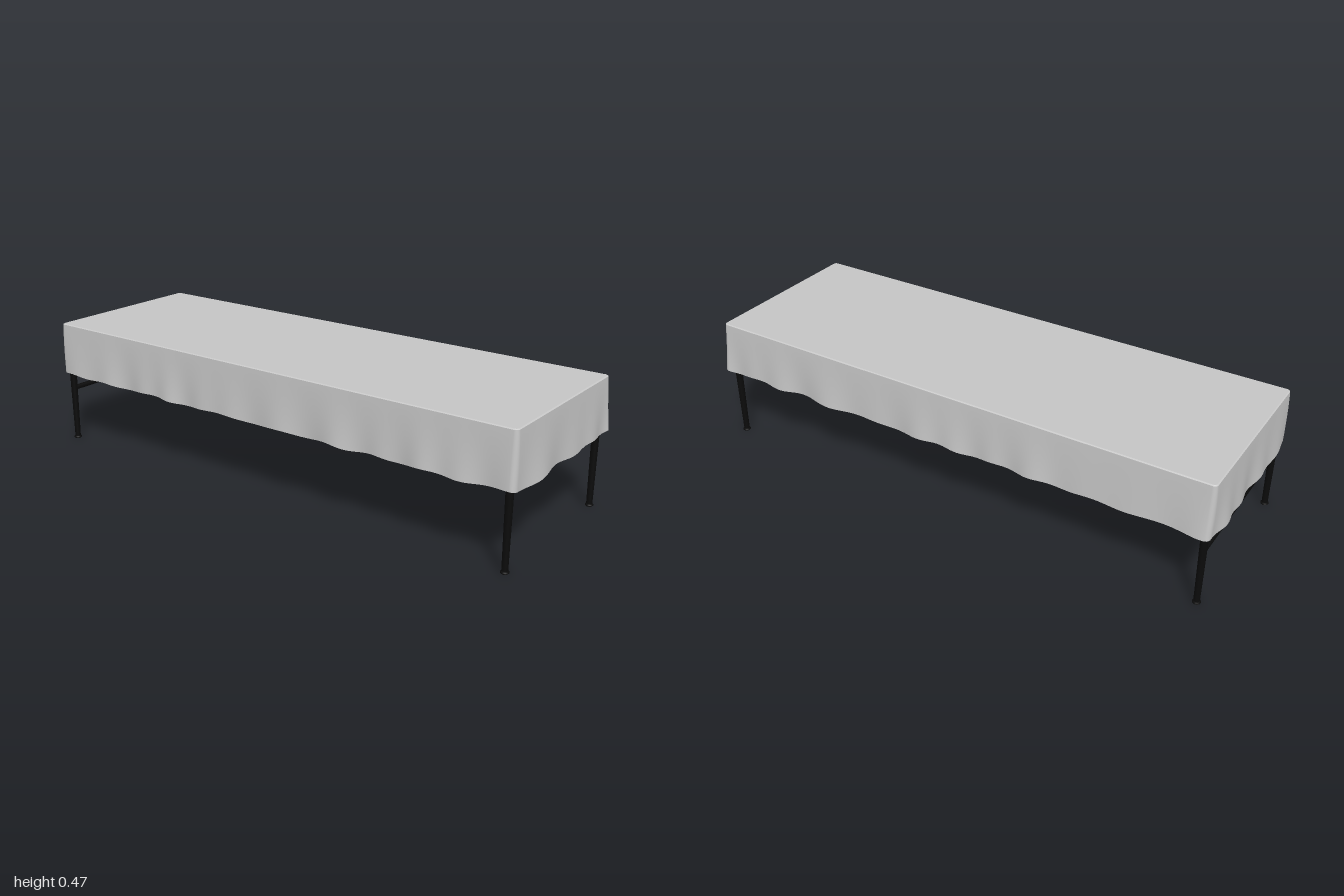
import * as THREE from 'three';

const cloth = new THREE.MeshStandardMaterial({ color: 0xc8c8c8, side: THREE.DoubleSide });
cloth.name = 'grey cloth';
const metal = new THREE.MeshStandardMaterial({ color: 0x0b0b0b });
metal.name = 'black metal';

const TOP = 0.473, HEM = 0.274, HX = 0.328, HZ = 0.98, R = 0.014;

// Evenly stepped loop round the table edge: position and outward direction
function edgeLoop() {
  const pts = [];
  const corners = [[1, 1, 0], [-1, 1, 1], [-1, -1, 2], [1, -1, 3]];
  corners.forEach(([sx, sz, q], i) => {
    const cx = sx * (HX - R), cz = sz * (HZ - R);
    for (let k = 0; k <= 6; k++) {
      const a = (q + k / 6) * Math.PI / 2;
      pts.push({ x: cx + R * Math.cos(a), z: cz + R * Math.sin(a), nx: Math.cos(a), nz: Math.sin(a) });
    }
    const last = pts[pts.length - 1], next = corners[(i + 1) % 4];
    const ex = next[0] * (HX - R) + R * last.nx, ez = next[1] * (HZ - R) + R * last.nz;
    const n = Math.round(Math.hypot(ex - last.x, ez - last.z) / 0.014);
    for (let k = 1; k < n; k++) {
      const t = k / n;
      pts.push({ ...last, x: last.x + (ex - last.x) * t, z: last.z + (ez - last.z) * t });
    }
  });
  return pts;
}

// Hanging cloth: folds grow from the table edge down to a wavy hem
function skirtGeometry(loop) {
  const rows = 14, n = loop.length, pos = [], idx = [];
  for (let r = 0; r <= rows; r++) {
    const v = r / rows;
    loop.forEach((p, i) => {
      const a = (i / n) * Math.PI * 2;
      const fold = 0.0045 * Math.sin(31 * a + 1.5 * Math.sin(5 * a)) + 0.0045 * Math.sin(17 * a + 2 * Math.sin(3 * a) + 1);
      const out = 0.011 * Math.pow(v, 0.9) + fold * Math.pow(v, 1.8);
      const hem = HEM + 0.003 + 0.003 * Math.sin(23 * a + 2 * Math.sin(4 * a));
      pos.push(p.x + p.nx * out, TOP - 0.003 + (hem - TOP + 0.003) * v, p.z + p.nz * out);
      if (r < rows) {
        const j = (i + 1) % n, A = r * n + i, B = r * n + j;
        idx.push(A, B, A + n, B, B + n, A + n);
      }
    });
  }
  const g = new THREE.BufferGeometry();
  g.setAttribute('position', new THREE.Float32BufferAttribute(pos, 3));
  g.setIndex(idx);
  g.computeVertexNormals();
  return g;
}

// Flat cloth top with a narrow softened rim
function topGeometry(loop) {
  const shape = new THREE.Shape(loop.map(p => new THREE.Vector2(p.x - p.nx * 0.004, -(p.z - p.nz * 0.004))));
  return new THREE.ShapeGeometry(shape).rotateX(-Math.PI / 2).translate(0, TOP, 0);
}

function rimGeometry(loop) {
  const n = loop.length, pos = [], idx = [];
  loop.forEach((p, i) => {
    pos.push(p.x - p.nx * 0.004, TOP, p.z - p.nz * 0.004, p.x, TOP - 0.003, p.z);
    const a = 2 * i, b = 2 * ((i + 1) % n);
    idx.push(a, b, a + 1, b, b + 1, a + 1);
  });
  const g = new THREE.BufferGeometry();
  g.setAttribute('position', new THREE.Float32BufferAttribute(pos, 3));
  g.setIndex(idx);
  g.computeVertexNormals();
  return g;
}

export function createModel() {
  const model = new THREE.Group();
  model.name = 'coveredTable';
  const add = (name, geometry, material, parent = model) => {
    const mesh = new THREE.Mesh(geometry, material);
    mesh.name = name;
    parent.add(mesh);
    return mesh;
  };

  const loop = edgeLoop();
  add('clothTop', topGeometry(loop), cloth);
  add('clothRim', rimGeometry(loop), cloth);
  add('clothSkirt', skirtGeometry(loop), cloth);

  // Tapered legs, each on a small round foot
  for (const sx of [-1, 1]) for (const sz of [-1, 1]) {
    const leg = new THREE.Group();
    leg.name = (sz > 0 ? 'front' : 'back') + (sx > 0 ? 'Left' : 'Right') + 'Leg';
    const shaft = add('legShaft', new THREE.CylinderGeometry(0.015, 0.0105, 0.463, 20), metal, leg);
    shaft.position.y = 0.2365;
    const profile = [[0, 0], [0.011, 0], [0.0145, 0.003], [0.0145, 0.006], [0.011, 0.01], [0, 0.01]];
    add('foot', new THREE.LatheGeometry(profile.map(p => new THREE.Vector2(...p)), 20), metal, leg);
    leg.position.set(sx * 0.309, 0, sz * 0.957);
    model.add(leg);
  }

  // Crossbar between the back legs
  const bar = add('backCrossbar', new THREE.CylinderGeometry(0.0095, 0.0095, 0.61, 16).rotateZ(Math.PI / 2), metal);
  bar.position.set(0, 0.21, -0.957);

  return model;
}
